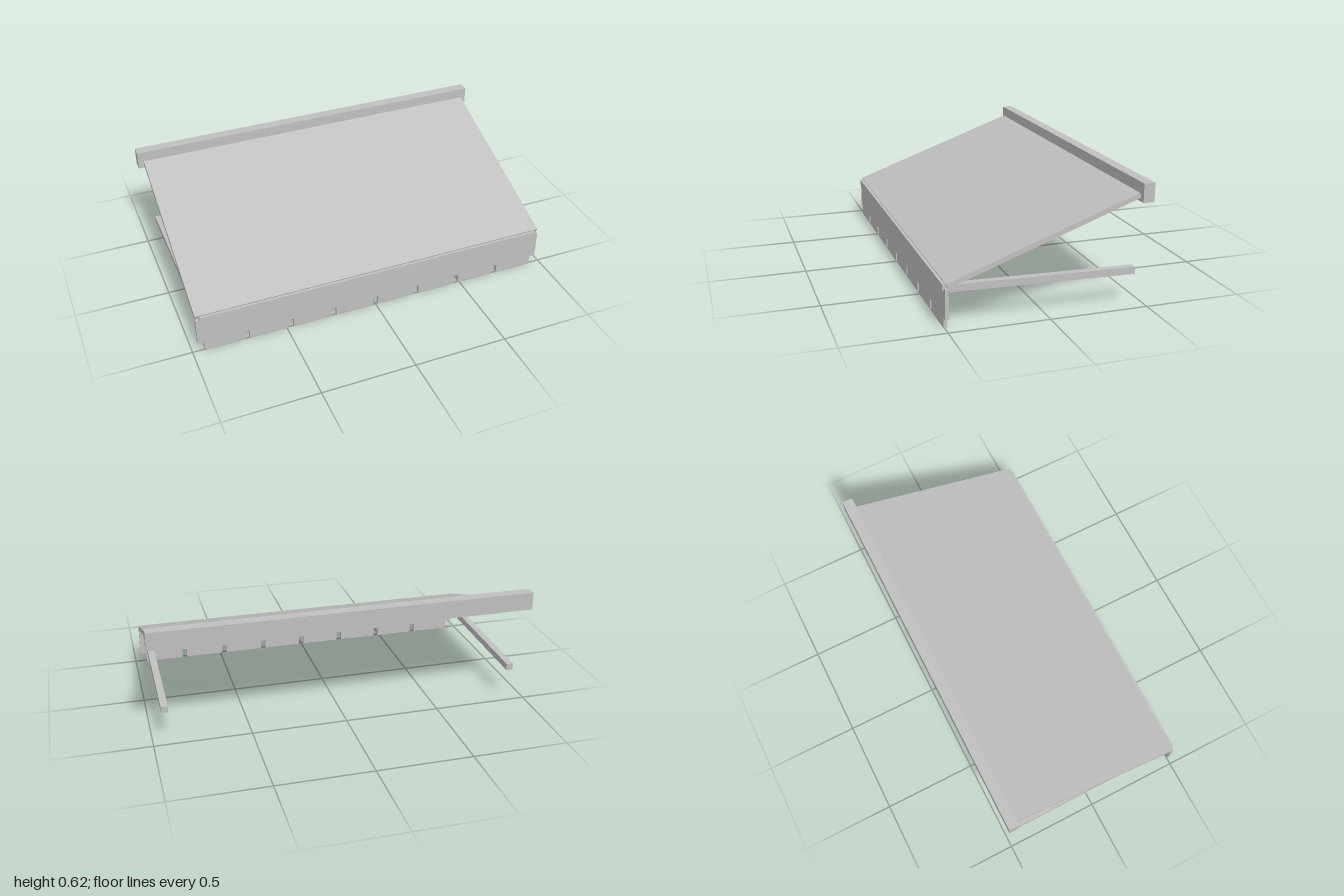
import * as THREE from 'three';

export function createModel() {
  const model = new THREE.Group();
  model.name = 'awning';
  const grey = new THREE.MeshStandardMaterial({ color: 0xc0c0c0 });
  grey.name = 'light grey';

  function add(name, geometry, x, y, z, tilt = 0) {
    const mesh = new THREE.Mesh(geometry, grey);
    mesh.name = name;
    mesh.position.set(x, y, z);
    mesh.rotation.x = tilt;
    model.add(mesh);
    return mesh;
  }

  // A box of given width and height running between two points in the y-z plane
  function addBeam(name, x, width, height, y0, z0, y1, z1) {
    const length = Math.hypot(y1 - y0, z1 - z0);
    const tilt = Math.atan2(y1 - y0, z0 - z1);
    return add(name, new THREE.BoxGeometry(width, height, length), x, (y0 + y1) / 2, (z0 + z1) / 2, tilt);
  }

  // Wall cassette at the back
  add('cassette', new THREE.BoxGeometry(2, 0.095, 0.057), 0, 0.573, -0.484);

  // Sloping canopy sheet
  addBeam('canopy', 0, 1.94, 0.025, 0.213, 0.495, 0.556, -0.456);

  // Front rail
  add('frontRail', new THREE.BoxGeometry(1.9, 0.034, 0.034), 0, 0.201, 0.495);

  // Support arms
  for (const side of [-1, 1]) {
    addBeam(side > 0 ? 'leftArm' : 'rightArm', side * 0.93, 0.036, 0.036, 0.193, 0.476, 0.173, -0.455);
  }

  // Valance: one outline with eight square tabs along the lower edge
  const tabs = 8, pitch = 0.238, tabWidth = 0.21, tabTop = 0.05, thickness = 0.018;
  const outline = new THREE.Shape();
  outline.moveTo(0.97, 0.2);
  outline.lineTo(-0.97, 0.2);
  outline.lineTo(-0.97, tabTop);
  for (let i = 0; i < tabs; i++) {
    const x = (i - (tabs - 1) / 2) * pitch;
    outline.lineTo(x - tabWidth / 2, tabTop);
    outline.lineTo(x - tabWidth / 2, 0);
    outline.lineTo(x + tabWidth / 2, 0);
    outline.lineTo(x + tabWidth / 2, tabTop);
  }
  outline.lineTo(0.97, tabTop);
  outline.closePath();
  add('valance', new THREE.ExtrudeGeometry(outline, { depth: thickness, bevelEnabled: false }), 0, 0, 0.496 - thickness / 2);

  return model;
}
